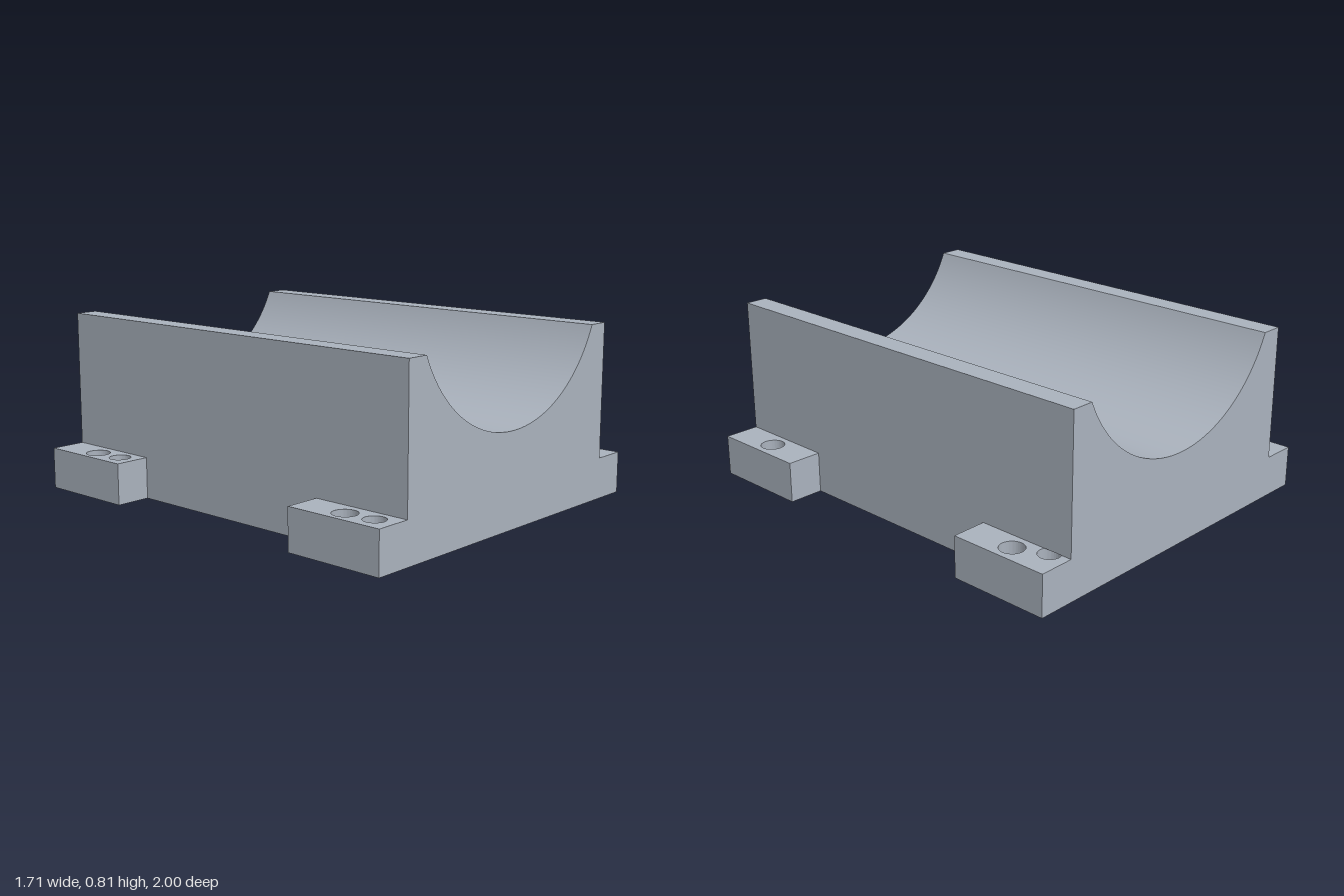
import * as THREE from 'three';
import { toCreasedNormals } from 'three/addons/utils/BufferGeometryUtils.js';

const BODY_X = 0.688, FOOT_X = 0.853, FOOT_Z = 0.527, FOOT_H = 0.19, TOP = 0.81;

function extrude(shape, depth) {
  return new THREE.ExtrudeGeometry(shape, { depth, bevelEnabled: false, curveSegments: 48 });
}

export function createModel() {
  const group = new THREE.Group();
  group.name = 'bearingCradle';
  const metal = new THREE.MeshStandardMaterial({ color: 0xaab2bd });
  metal.name = 'blueGreyMetal';

  const add = (name, geometry) => {
    const mesh = new THREE.Mesh(toCreasedNormals(geometry, 0.5), metal);
    mesh.name = name;
    group.add(mesh);
  };

  // Base slab with four corner feet, drawn in plan (shape y is -z)
  const plan = new THREE.Shape([
    [-FOOT_X, -1], [FOOT_X, -1], [FOOT_X, -FOOT_Z], [BODY_X, -FOOT_Z],
    [BODY_X, FOOT_Z], [FOOT_X, FOOT_Z], [FOOT_X, 1], [-FOOT_X, 1],
    [-FOOT_X, FOOT_Z], [-BODY_X, FOOT_Z], [-BODY_X, -FOOT_Z], [-FOOT_X, -FOOT_Z],
  ].map(([x, y]) => new THREE.Vector2(x, y)));

  // Screw and dowel holes: x, z, radius
  for (const [x, z, r] of [
    [-0.775, -0.765, 0.055], [-0.765, -0.62, 0.049],
    [-0.775, 0.76, 0.055], [-0.765, 0.902, 0.049],
    [0.77, -0.765, 0.055], [0.709, -0.907, 0.049],
    [0.77, 0.76, 0.055],
  ]) {
    plan.holes.push(new THREE.Path().absarc(x, -z, r, 0, Math.PI * 2, true));
  }
  add('footedBase', extrude(plan, FOOT_H).rotateX(-Math.PI / 2));

  // Saddle block with a round trough along z
  const halfChord = 0.583, bottom = 0.427, sag = TOP - bottom;
  const radius = (halfChord ** 2 + sag ** 2) / (2 * sag);
  const centreY = bottom + radius;
  const angle = Math.atan2(TOP - centreY, halfChord);
  const profile = new THREE.Shape();
  profile.moveTo(-BODY_X, FOOT_H);
  profile.lineTo(BODY_X, FOOT_H);
  profile.lineTo(BODY_X, TOP);
  profile.lineTo(halfChord, TOP);
  profile.absarc(0, centreY, radius, angle, -Math.PI - angle, true);
  profile.lineTo(-BODY_X, TOP);
  profile.closePath();
  add('saddle', extrude(profile, 2).translate(0, 0, -1));

  return group;
}
